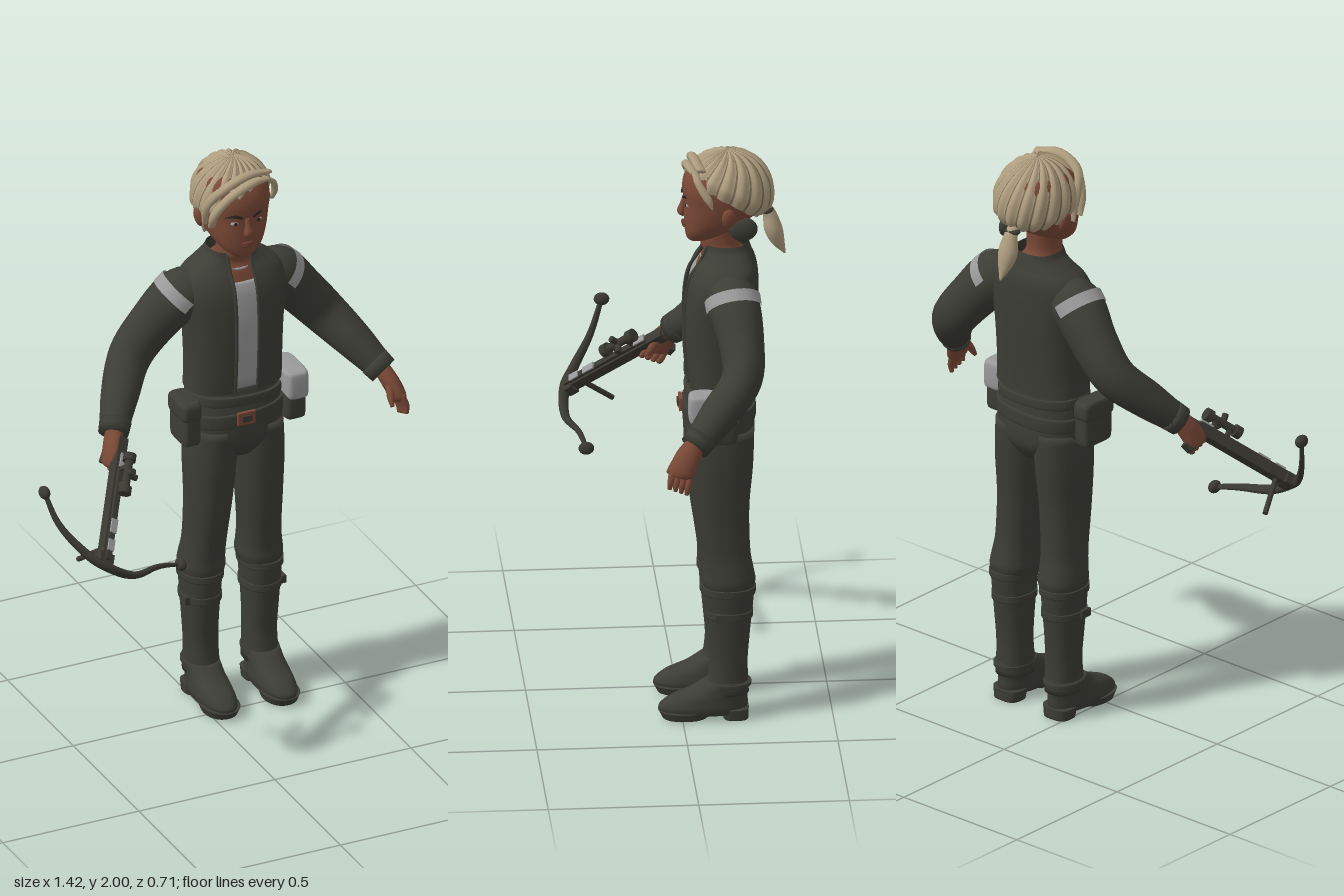
import * as THREE from 'three';

const mat = (name, color) => {
  const m = new THREE.MeshStandardMaterial({ color, side: THREE.DoubleSide });
  m.name = name;
  return m;
};
const V = (x, y, z) => new THREE.Vector3(x, y, z);
const TAU = Math.PI * 2, CX = 0.15;

// Smoothly resample a list of equal-length rows
function smooth(rows, n) {
  const f = new THREE.CubicInterpolant(rows.map((_, i) => i), rows.flat(), rows[0].length);
  return Array.from({ length: n + 1 }, (_, i) => Array.from(f.evaluate((i / n) * (rows.length - 1))));
}

// Surface through rings of points, optionally closed around and capped
function skin(rings, closed = true, caps = true) {
  const m = rings[0].length, pos = [], idx = [];
  rings.forEach(r => r.forEach(p => pos.push(p.x, p.y, p.z)));
  for (let i = 0; i < rings.length - 1; i++)
    for (let j = 0; j < (closed ? m : m - 1); j++) {
      const k = (j + 1) % m, a = i * m + j, b = i * m + k;
      idx.push(a, b, a + m, b, b + m, a + m);
    }
  if (closed && caps) [0, rings.length - 1].forEach((i, end) => {
    const c = rings[i].reduce((s, p) => s.add(p), V(0, 0, 0)).divideScalar(m), n = pos.length / 3;
    pos.push(c.x, c.y, c.z);
    for (let j = 0; j < m; j++) {
      const a = i * m + j, b = i * m + (j + 1) % m;
      end ? idx.push(a, b, n) : idx.push(b, a, n);
    }
  });
  const g = new THREE.BufferGeometry();
  g.setAttribute('position', new THREE.Float32BufferAttribute(pos, 3));
  g.setIndex(idx);
  g.computeVertexNormals();
  return g;
}

// Upright loft; rows are [y, cx, cz, rx, rz]; gap leaves the front open by a half width
function loft(rows, { p = 2.2, seg = 32, n = rows.length * 4, gap = 0 } = {}) {
  const pw = v => Math.sign(v) * Math.abs(v) ** (2 / p);
  return skin(smooth(rows, n).map(([y, cx, cz, rx, rz]) => {
    const g = gap ? Math.asin(Math.min(0.9, (gap / rx) ** (p / 2))) : 0;
    return Array.from({ length: gap ? seg + 1 : seg }, (_, j) => {
      const a = g + (j / seg) * (TAU - 2 * g);
      return V(cx + rx * pw(Math.sin(a)), y, cz + rz * pw(Math.cos(a)));
    });
  }), !gap);
}

// Tube along a path; rows are [x, y, z, r1, r2]; a0..a1 limits it to an arc
function sweep(rows, { seg = 16, n = rows.length * 4, a0 = 0, a1 = TAU, ref = V(0, 0, 1) } = {}) {
  const s = smooth(rows, n), full = a1 - a0 > 6.28;
  return skin(s.map(([x, y, z, r1, r2], i) => {
    const q = s[Math.max(0, i - 1)], r = s[Math.min(n, i + 1)];
    const t = V(r[0] - q[0], r[1] - q[1], r[2] - q[2]).normalize();
    const v = ref.clone().addScaledVector(t, -ref.dot(t)).normalize(), w = t.clone().cross(v);
    return Array.from({ length: full ? seg : seg + 1 }, (_, j) => {
      const a = a0 + (j / seg) * (a1 - a0);
      return V(x, y, z).addScaledVector(v, r1 * Math.cos(a)).addScaledVector(w, r2 * Math.sin(a));
    });
  }), full);
}

export function createModel() {
  const cloth = mat('dark cloth', 0x3c3d35), skinM = mat('skin', 0x7a4936), hair = mat('blond hair', 0xae9d7e);
  const shade = mat('hair shadow strands', 0x776a53), grey = mat('light grey', 0x9a9a9a);
  const metal = mat('weapon metal', 0x3a3931), lip = mat('lips', 0x66382d), buckleM = mat('buckle', 0x7d4a38);
  const black = mat('dark detail', 0x25211d);
  const root = new THREE.Group();
  const add = (name, geo, m, parent = root) => {
    const o = new THREE.Mesh(geo, m);
    o.name = name;
    parent.add(o);
    return o;
  };
  const ball = (name, m, p, s, parent) => {
    const o = add(name, new THREE.SphereGeometry(1, 20, 14), m, parent);
    o.position.set(...p); o.scale.set(...s);
    return o;
  };
  const box = (name, m, p, s, parent) => {
    const o = add(name, new THREE.BoxGeometry(...s), m, parent);
    o.position.set(...p);
    return o;
  };

  // Torso: open jacket over shirt, chest and neck
  add('jacket', loft([[1.17, CX, -0.135, 0.17, 0.108], [1.25, CX, -0.133, 0.167, 0.113], [1.4, CX, -0.135, 0.172, 0.121],
    [1.52, CX, -0.142, 0.188, 0.118], [1.585, CX, -0.152, 0.175, 0.105], [1.625, CX, -0.158, 0.125, 0.085],
    [1.65, CX, -0.158, 0.09, 0.077], [1.672, CX, -0.155, 0.078, 0.072]], { gap: 0.04, p: 2.5, seg: 48 }), cloth);
  add('shirt', loft([[1.18, CX, -0.135, 0.158, 0.101], [1.4, CX, -0.135, 0.16, 0.114], [1.52, CX, -0.142, 0.165, 0.11],
    [1.572, CX, -0.15, 0.15, 0.1]], { p: 2.5 }), grey);
  add('neck', loft([[1.55, CX, -0.148, 0.14, 0.1], [1.6, CX, -0.152, 0.11, 0.088], [1.635, CX, -0.148, 0.07, 0.07],
    [1.67, CX, -0.13, 0.055, 0.062], [1.75, CX, -0.13, 0.055, 0.065]]), skinM);
  const lace = add('necklace', new THREE.TorusGeometry(0.064, 0.005, 8, 32), grey);
  lace.position.set(CX, 1.625, -0.135); lace.rotation.x = Math.PI / 2 + 0.2;
  for (const s of [-1, 1])
    add('jacketEdge', sweep([[1.175, -0.028], [1.3, -0.018], [1.45, -0.017], [1.55, -0.031], [1.61, -0.066], [1.665, -0.09]]
      .map(([y, z]) => [CX + s * 0.041, y, z, 0.006, 0.006]), { seg: 8 }), cloth);

  // Hips, belt and buckle
  add('hips', loft([[0.92, CX, -0.13, 0.08, 0.08], [0.97, CX, -0.13, 0.145, 0.112], [1.02, CX, -0.13, 0.168, 0.118],
    [1.1, CX, -0.13, 0.163, 0.113], [1.19, CX, -0.135, 0.15, 0.1]], { p: 2.4 }), cloth);
  [[1.06, 0.172, 0.122, 0.05, 0.03], [1.125, 0.165, 0.114, 0.035, -0.02]].forEach(([y, rx, rz, h, tilt]) => {
    const b = add('belt', loft([[-h / 2, 0, 0, rx - 0.008, rz - 0.008], [-h / 2.4, 0, 0, rx, rz], [h / 2.4, 0, 0, rx, rz],
      [h / 2, 0, 0, rx - 0.008, rz - 0.008]], { p: 2.4 }), cloth);
    b.position.set(CX, y + 0.015, -0.13); b.rotation.z = tilt * 1.5;
  });
  box('buckle', buckleM, [0.138, 1.085, -0.004], [0.062, 0.045, 0.012]);
  box('buckleCentre', cloth, [0.138, 1.085, 0.003], [0.035, 0.022, 0.008]);

  // Pouches
  const pouch = (name, m, x, y0, y1, z, rx, rz) => add(name, loft([[y0, x, z, rx * 0.75, rz * 0.8],
    [y0 + 0.015, x, z, rx, rz], [y1 - 0.015, x, z, rx, rz], [y1, x, z, rx * 0.8, rz * 0.85]], { p: 5 }), m);
  pouch('leftPouch', cloth, 0.335, 1.02, 1.13, -0.1, 0.038, 0.078);
  pouch('leftPouchFlap', grey, 0.34, 1.095, 1.198, -0.1, 0.042, 0.084);
  pouch('rightPouch', cloth, -0.04, 1.0, 1.13, -0.1, 0.032, 0.065);
  pouch('rightPouchFlap', cloth, -0.042, 1.09, 1.16, -0.1, 0.036, 0.07);

  for (const s of [-1, 1]) {
    const side = s > 0 ? 'left' : 'right', X = d => CX + s * d;
    const row = r => [r[0], X(r[1]), ...r.slice(2)];
    // Trousers, boots and straps
    add(side + 'Leg', loft([[0.45, 0.107, -0.155, 0.066, 0.077], [0.49, 0.106, -0.155, 0.077, 0.089], [0.53, 0.105, -0.152, 0.074, 0.086],
      [0.6, 0.1, -0.142, 0.07, 0.085], [0.75, 0.093, -0.13, 0.076, 0.095], [0.9, 0.088, -0.13, 0.084, 0.108],
      [1.03, 0.084, -0.13, 0.082, 0.112]].map(row)), cloth);
    add(side + 'Boot', loft([[0.09, 0.108, -0.15, 0.06, 0.072], [0.2, 0.108, -0.155, 0.057, 0.063], [0.3, 0.11, -0.155, 0.06, 0.07],
      [0.4, 0.11, -0.155, 0.066, 0.08], [0.465, 0.11, -0.155, 0.07, 0.086]].map(row)), cloth);
    [[0.45, 0.474, 0.074, 0.09], [0.365, 0.39, 0.069, 0.081], [0.118, 0.13, 0.062, 0.075]].forEach(([a, b, rx, rz]) =>
      add(side + 'BootBand', loft([row([a, 0.11, -0.155, rx, rz]), row([b, 0.11, -0.155, rx, rz])]), cloth));
    box(side + 'BootClip', cloth, [X(0.168), 0.378, -0.13], [0.035, 0.028, 0.045]);
    add(side + 'Foot', loft([[0.022, 0.11, -0.07, 0.058, 0.14], [0.045, 0.11, -0.07, 0.063, 0.148], [0.075, 0.11, -0.088, 0.06, 0.13],
      [0.1, 0.11, -0.12, 0.058, 0.1], [0.135, 0.11, -0.15, 0.058, 0.072]].map(row)), cloth);
    add(side + 'Sole', loft([[0.004, 0.11, -0.01, 0.056, 0.075], [0.032, 0.11, -0.01, 0.064, 0.09]].map(row)), cloth);
    add(side + 'Heel', loft([[0, 0.11, -0.178, 0.05, 0.042], [0.04, 0.11, -0.175, 0.055, 0.046]].map(row), { p: 3 }), cloth);

    // Sleeve, shoulder patch and cuff
    const arm = [[0.1, 1.535, -0.15, 0.07, 0.065], [0.18, 1.51, -0.165, 0.088, 0.09], [0.27, 1.415, -0.185, 0.076, 0.083],
      [0.355, 1.315, -0.18, 0.068, 0.076], [0.43, 1.225, -0.1, 0.064, 0.064], [0.495, 1.14, -0.015, 0.047, 0.047]]
      .map(r => [X(r[0]), ...r.slice(1)]);
    add(side + 'Sleeve', sweep(arm, { seg: 24, n: 30 }), cloth);
    add(side + 'ShoulderPatch', sweep([[0.165, 1.525, -0.163, 0.094, 0.094], [0.195, 1.494, -0.168, 0.093, 0.096]]
      .map(r => [X(r[0]), ...r.slice(1)]), { a0: s > 0 ? -Math.PI : 0, a1: s > 0 ? 0 : Math.PI, n: 3 }), grey);
    add(side + 'Cuff', sweep([[0.475, 1.165, -0.04, 0.054, 0.054], [0.497, 1.137, -0.012, 0.051, 0.051]]
      .map(r => [X(r[0]), ...r.slice(1)]), { n: 2 }), cloth);

    // Hand: open on the left, gripping on the right
    const hand = new THREE.Group();
    hand.name = side + 'Hand';
    root.add(hand);
    add('palm', sweep([[0.49, 1.15, -0.02, 0.032, 0.028], [0.51, 1.105, 0.012, 0.042, 0.03], [0.527, 1.06, 0.033, 0.043, 0.027],
      [0.53, 1.045, 0.038, 0.03, 0.018]].map(r => [X(r[0]), ...r.slice(1)])), skinM, hand);
    for (let k = 0; k < 4; k++) {
      const o = (k - 1.5) * 0.021, y = 1.065 + o * 0.35, z = 0.033 + o * 0.9;
      const curl = s > 0 ? [[0.54, -0.04, 0.008], [0.54, -0.068, 0.012]] : [[0.515, -0.035, 0.02], [0.48, -0.025, 0.03]];
      add('finger', sweep([[X(0.525), y, z, 0.012, 0.013], ...curl.map(([dx, dy, dz], i) =>
        [X(dx), y + dy, z + dz, 0.011 - i * 0.004, 0.011 - i * 0.004])], { seg: 10 }), skinM, hand);
    }
    add('thumb', sweep([[X(0.5), 1.11, 0.03, 0.016, 0.016], [X(0.49), 1.075, 0.055, 0.013, 0.013], [X(0.488), 1.045, 0.075, 0.007, 0.007]],
      { seg: 10, ref: V(1, 0, 0) }), skinM, hand);

    // Eye, brow and ear
    const ex = 0.148 + s * 0.042;
    ball(side + 'Eye', grey, [ex, 1.815, -0.025], [0.016, 0.007, 0.008]);
    ball(side + 'Iris', black, [ex, 1.815, -0.018], [0.006, 0.006, 0.003]);
    add(side + 'Brow', sweep([[0.148 + s * 0.02, 1.836, -0.01, 0.004, 0.004], [0.148 + s * 0.045, 1.844, -0.018, 0.005, 0.005],
      [0.148 + s * 0.07, 1.835, -0.04, 0.002, 0.002]], { seg: 8, ref: V(0, 1, 0) }), black);
    ball(side + 'Ear', skinM, [0.153 + s * 0.118, 1.795, -0.155], [0.014, 0.036, 0.024]).rotation.z = -s * 0.2;
  }

  // Head and face
  add('head', loft([[1.674, 0.149, -0.058, 0.02, 0.018], [1.685, 0.149, -0.064, 0.042, 0.04], [1.715, 0.15, -0.09, 0.076, 0.073],
    [1.76, 0.151, -0.125, 0.1, 0.111], [1.82, 0.153, -0.148, 0.113, 0.134], [1.88, 0.155, -0.15, 0.116, 0.141],
    [1.94, 0.157, -0.152, 0.1, 0.118], [1.98, 0.158, -0.152, 0.045, 0.055]], { p: 2.3 }), skinM);
  add('nose', sweep([[0.148, 1.83, -0.018, 0.008, 0.009], [0.148, 1.8, -0.01, 0.01, 0.012], [0.148, 1.778, -0.005, 0.013, 0.018],
    [0.148, 1.763, -0.012, 0.005, 0.012]], { seg: 12 }), skinM);
  ball('upperLip', lip, [0.148, 1.737, -0.015], [0.024, 0.006, 0.01]);
  ball('lowerLip', lip, [0.148, 1.727, -0.019], [0.02, 0.006, 0.011]);
  ball('darkPatchBehindEar', cloth, [0.238, 1.742, -0.205], [0.022, 0.042, 0.048]);

  // Hair cap: grooved strands from the crown to an uneven hairline
  const keys = [[-Math.PI, 2.15], [-2.1, 2.08], [-1.2, 1.82], [-0.7, 1.5], [0, 1.13], [0.5, 1.05], [1, 1.25], [1.6, 1.55], [2.3, 2], [Math.PI, 2.15]];
  const edge = new THREE.CubicInterpolant(keys.map(k => k[0]), keys.flat(), 2);
  const cols = 144, rings = [];
  for (let i = 0; i <= 22; i++) {
    const v = 0.01 + 0.99 * i / 22;
    rings.push(Array.from({ length: cols }, (_, j) => {
      const a = -Math.PI + (j / cols) * TAU, f = v * edge.evaluate(a)[1], b = a + 0.5 * (1 - v);
      const r = 1 + 0.025 * Math.cos(18 * a) * Math.min(1, v * 3) - 0.12 * Math.max(0, v - 0.85) / 0.15;
      return V(0.16 + 0.136 * r * Math.sin(f) * Math.sin(b), 1.845 + 0.153 * r * Math.cos(f), -0.155 + 0.157 * r * Math.sin(f) * Math.cos(b));
    }).reverse());
  }
  rings.forEach(r => r.reverse());
  const cap = skin(rings.reverse(), true, false);
  for (let k = 0; k < 22 * cols; k++) cap.addGroup(k * 6, 6, k % 8 === 4 ? 1 : 0);
  add('hairCap', cap, [hair, shade]);
  const strand = (pts, r) => add('fringeStrand', sweep(pts.map((p, i) => [...p, i === pts.length - 1 ? 0.003 : r, i ? r * 0.8 : r * 0.4]),
    { seg: 10, ref: V(0, 0.3, 1).normalize() }), hair);
  strand([[0.235, 1.945, -0.045], [0.17, 1.952, -0.025], [0.095, 1.915, -0.03], [0.05, 1.845, -0.06], [0.045, 1.79, -0.075]], 0.018);
  strand([[0.25, 1.96, -0.065], [0.16, 1.972, -0.045], [0.075, 1.935, -0.05], [0.04, 1.86, -0.1], [0.042, 1.785, -0.115]], 0.018);
  strand([[0.23, 1.95, -0.045], [0.262, 1.92, -0.055], [0.28, 1.87, -0.085], [0.275, 1.835, -0.1]], 0.013);
  add('ponytail', sweep([[CX, 1.79, -0.275, 0.02, 0.02], [CX, 1.762, -0.297, 0.022, 0.024], [CX, 1.71, -0.31, 0.03, 0.035],
    [CX, 1.665, -0.325, 0.024, 0.026], [CX, 1.615, -0.35, 0.003, 0.003]]), hair);
  ball('hairTie', cloth, [CX, 1.775, -0.288], [0.028, 0.014, 0.025]);

  // Crossbow: stock frame runs along local z, with its top along local y
  const bow = new THREE.Group(), d = V(-0.46, -0.59, 0.66).normalize();
  bow.name = 'crossbow';
  const up = d.clone().cross(V(0.79, -0.59, 0.135)).normalize();
  bow.applyMatrix4(new THREE.Matrix4().makeBasis(up.clone().cross(d), up, d).setPosition(-0.345, 1.11, 0.035));
  root.add(bow);
  const rod = (name, p, r, len, axis) => {
    const o = add(name, new THREE.CylinderGeometry(r, r, len, 16), metal, bow);
    o.position.set(...p);
    if (axis) o.rotation[axis] = Math.PI / 2;
  };
  box('stock', metal, [0, 0, 0.2], [0.036, 0.036, 0.46], bow);
  box('rail', metal, [0, 0.022, 0.23], [0.02, 0.014, 0.38], bow);
  box('bowMount', metal, [0, 0, 0.415], [0.055, 0.04, 0.04], bow);
  box('handle', metal, [0, -0.05, 0.03], [0.026, 0.08, 0.035], bow).rotation.x = 0.3;
  [[0.3, 0.05], [0.37, 0.04], [0.06, 0.05]].forEach(([z, l]) => box('greyPlate', grey, [0, 0.031, z], [0.024, 0.006, l], bow));
  rod('foregrip', [0, -0.08, 0.37], 0.009, 0.14);
  rod('scope', [0, 0.065, 0.12], 0.014, 0.13, 'x');
  [0.06, 0.18].forEach(z => rod('scopeRing', [0, 0.065, z], 0.022, 0.025, 'x'));
  rod('scopeKnob', [0, 0.085, 0.12], 0.011, 0.03);
  rod('scopeSideKnob', [0.02, 0.065, 0.12], 0.011, 0.035, 'z');
  [0.09, 0.15].forEach(z => box('scopeMount', metal, [0, 0.04, z], [0.014, 0.04, 0.014], bow));

  // Curved limb with rounded tips
  const limb = [[-0.7, 1.1, 0.195, 0.009], [-0.665, 0.99, 0.235, 0.013], [-0.6, 0.9, 0.295, 0.018], [-0.54, 0.85, 0.33, 0.02],
    [-0.44, 0.795, 0.335, 0.018], [-0.33, 0.783, 0.297, 0.013], [-0.24, 0.762, 0.28, 0.009]];
  add('bowLimb', sweep(limb.map(r => [...r, r[3] * 0.7]), { n: 32, seg: 12, ref: up }), metal);
  [limb[0], limb[6]].forEach(r => ball('limbTip', metal, r.slice(0, 3), [0.018, 0.022, 0.026]));
  return root;
}
